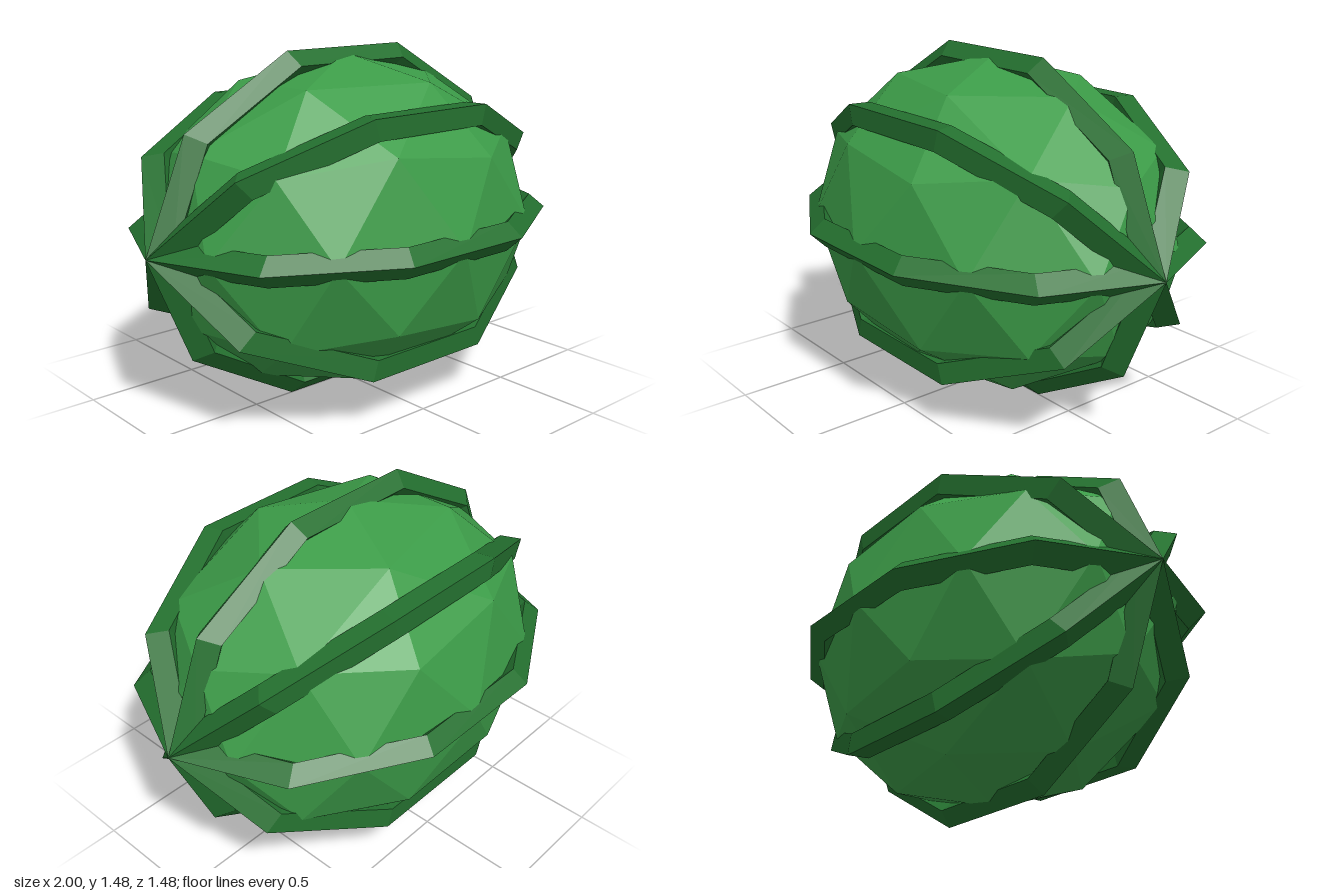
import * as THREE from 'three';

const POLE_RADIUS = 0.92; // half length of the body along x
const RIB_RADIUS = 0.08;
const GIRTH = 0.778; // y and z are squeezed to make the long oval
const RIB_RINGS = 4; // each ring gives two ribs

export function createModel() {
  const rind = new THREE.MeshStandardMaterial({ color: 0x3c9c48, flatShading: true });
  rind.name = 'light green rind';
  const stripe = new THREE.MeshStandardMaterial({ color: 0x24702f, flatShading: true });
  stripe.name = 'dark green stripe';

  const model = new THREE.Group();
  model.name = 'melon';

  // Faceted body, turned so that one five-sided corner points straight up
  const bodyGeometry = new THREE.IcosahedronGeometry(POLE_RADIUS, 1);
  bodyGeometry.rotateZ(-Math.atan(2 / (1 + Math.sqrt(5))));
  bodyGeometry.scale(1, GIRTH, GIRTH);
  const body = new THREE.Mesh(bodyGeometry, rind);
  body.name = 'body';
  model.add(body);

  // Square-section rings, fanned around the long axis and meeting at both tips
  for (let i = 0; i < RIB_RINGS; i++) {
    const ringGeometry = new THREE.TorusGeometry(POLE_RADIUS, RIB_RADIUS, 4, 10);
    ringGeometry.rotateX((i * Math.PI) / RIB_RINGS);
    ringGeometry.scale(1, GIRTH, GIRTH);
    const ring = new THREE.Mesh(ringGeometry, stripe);
    ring.name = `ribRing${i + 1}`;
    model.add(ring);
  }

  // Rest the lowest rib on the ground
  const halfHeight = (POLE_RADIUS + RIB_RADIUS) * GIRTH * Math.sin((2 * Math.PI) / 5);
  for (const part of model.children) part.position.y = halfHeight;
  return model;
}
